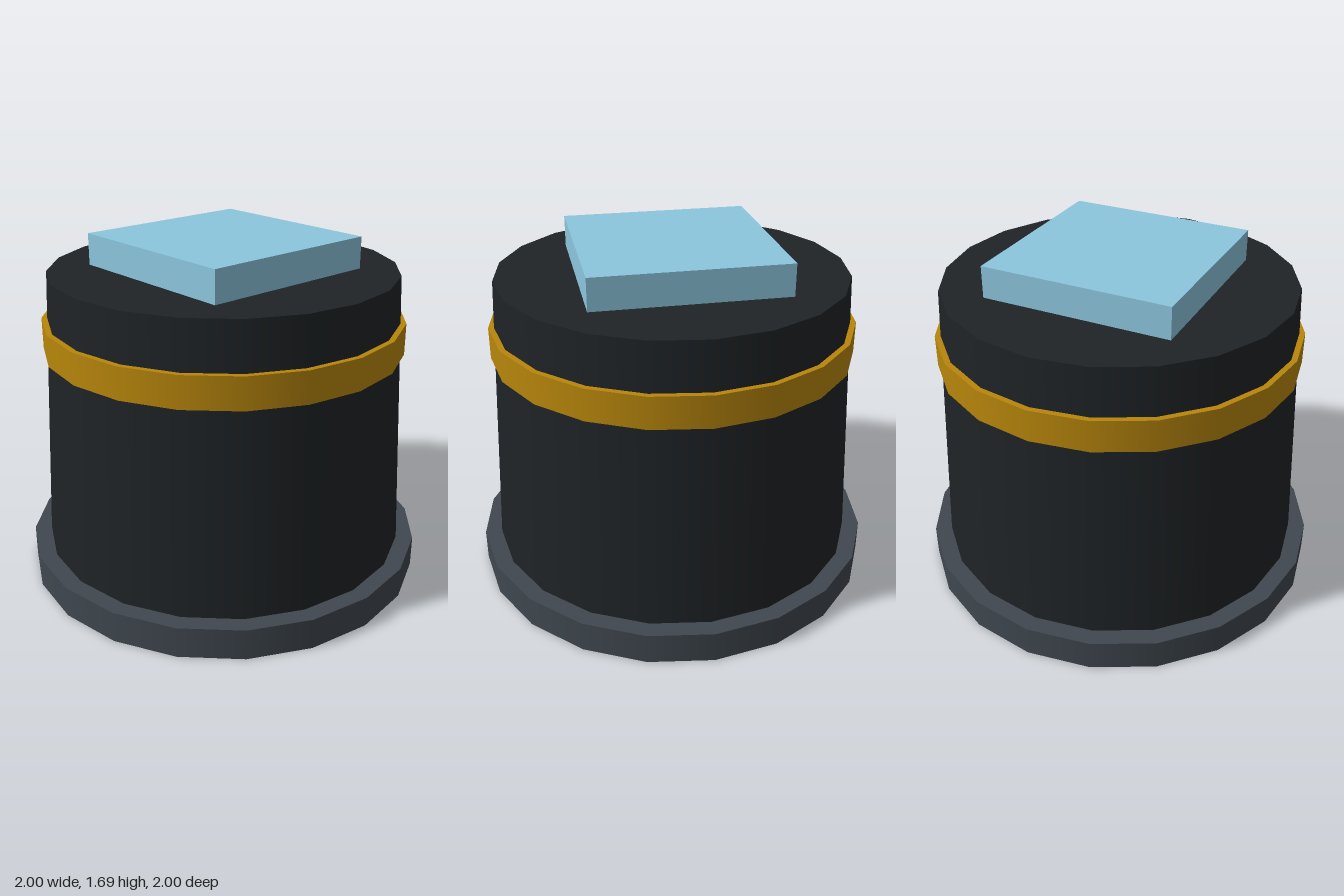
import * as THREE from 'three';

const SIDES = 20;

export function createModel() {
  const model = new THREE.Group();

  // Adds a named mesh resting on height y0
  function add(name, geometry, height, y0, color) {
    const mesh = new THREE.Mesh(geometry, new THREE.MeshStandardMaterial({ color }));
    mesh.name = name;
    mesh.position.y = y0 + height / 2;
    model.add(mesh);
  }

  function drum(name, topRadius, bottomRadius, y0, y1, color) {
    const height = y1 - y0;
    add(name, new THREE.CylinderGeometry(topRadius, bottomRadius, height, SIDES), height, y0, color);
  }

  // Wide base rim
  drum('baseRim', 1, 1, 0, 0.154, 0x3f474f);
  // Tapered body, its foot sunk just inside the rim
  drum('body', 0.846, 0.923, 0.005, 1.538, 0x1f2326);
  // Gold band around the upper body
  drum('band', 0.885, 0.885, 1.154, 1.308, 0xb8860b);
  // Square plate on top
  add('topPlate', new THREE.BoxGeometry(0.923, 0.154, 0.923), 0.154, 1.538, 0x8cc6de);

  return model;
}
